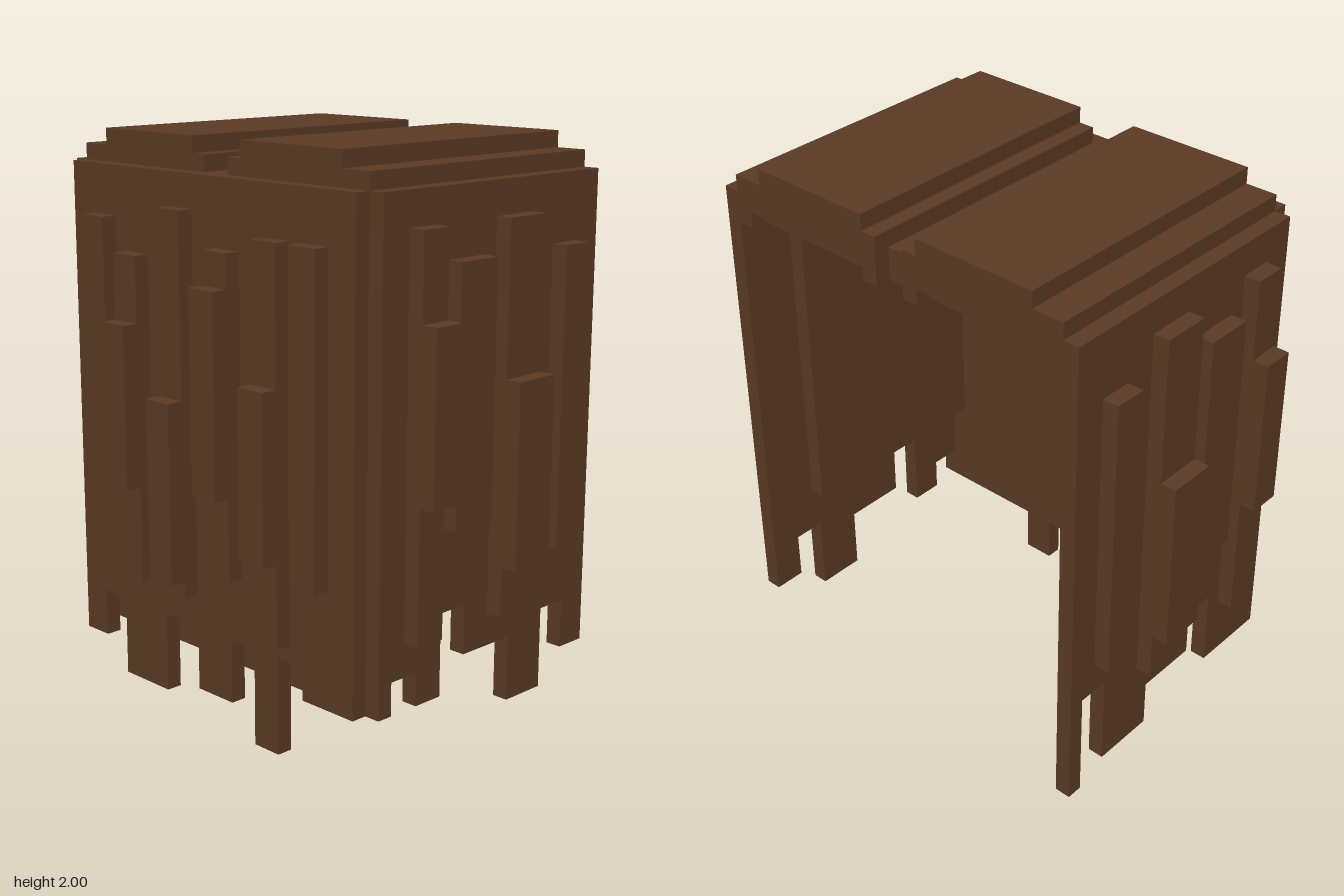
import * as THREE from 'three';

const U = 2 / 35; // one block unit
const material = new THREE.MeshStandardMaterial({ color: 0x5a3a24, flatShading: true });

export function createModel() {
  const model = new THREE.Group();
  const blocks = new THREE.Group();
  blocks.scale.setScalar(U);
  model.add(blocks);

  function add(name, geometry) {
    const mesh = new THREE.Mesh(geometry, material);
    mesh.name = name;
    blocks.add(mesh);
    return mesh;
  }

  // Box given by its limits in block units
  function box(name, x0, x1, y0, y1, z0, z1) {
    add(name, new THREE.BoxGeometry(x1 - x0, y1 - y0, z1 - z0))
      .position.set((x0 + x1) / 2, (y0 + y1) / 2, (z0 + z1) / 2);
  }

  // One-unit-thick panel with a stepped lower edge: [from, to, bottom]
  function fringed(name, steps, top) {
    const points = [];
    for (const [a, b, y] of steps) points.push(new THREE.Vector2(a, y), new THREE.Vector2(b, y));
    points.push(new THREE.Vector2(steps[steps.length - 1][1], top), new THREE.Vector2(steps[0][0], top));
    return add(name, new THREE.ExtrudeGeometry(new THREE.Shape(points), { depth: 1, bevelEnabled: false }));
  }

  // Front, back and side panels
  fringed('frontPanel', [
    [-7.5, -6.5, 4], [-6.5, -4.5, 6], [-4.5, -2.5, 4], [-2.5, -0.5, 9],
    [-0.5, 3.5, 6], [3.5, 6.5, 2], [6.5, 8.5, 7], [8.5, 10.5, 4],
  ], 33).position.z = 12;
  fringed('backPanel', [
    [-7.5, -2.5, 4], [-2.5, -0.5, 9], [-0.5, 3.5, 6],
    [3.5, 7.5, 3], [7.5, 9.5, 9], [9.5, 10.5, 2],
  ], 33).position.z = -13;
  const side = fringed('sidePanel', [
    [-12, -10, 3], [-10, -8, 6], [-8, -4, 1], [-4, -1, 6],
    [-1, 2, 2], [2, 4, 6], [4, 6, 0], [6, 8, 6], [8, 12, 4],
  ], 33);
  side.rotation.y = -Math.PI / 2;
  side.position.x = -7.5;

  // Roof and inner lining
  box('roof', -7.5, 9.5, 32, 33, -12, 12);
  box('roofLining', -7.5, 9.5, 31, 32, -12, 12);
  box('sideLining', -7.5, -6.5, 4, 31, -12, 12);

  // Parts mirrored between front and back: limits in z for the front half
  function pair(name, x0, x1, y0, y1, z0, z1) {
    box(name + 'Front', x0, x1, y0, y1, z0, z1);
    box(name + 'Back', x0, x1, y0, y1, -z1, -z0);
  }
  pair('wallLining', -6.5, 7, 10, 31, 11, 12);
  pair('roofStepLower', -7.5, 10.5, 33, 34, 1, 12);
  pair('roofStepUpper', -7.5, 10.5, 34, 35, 2, 10);
  pair('roofRim', 9.5, 10.5, 32, 33, 1, 12);
  pair('rimInnerTab', 9.5, 10.5, 31, 32, 1, 2);
  pair('rimOuterTab', 9.5, 10.5, 31, 32, 11, 12);

  // Raised strips on front and back: x limits, y limits
  for (const s of [[-5.5, -3.5, 8, 31], [-2.5, 0.5, 14, 29], [1.5, 4.5, 8, 31], [6.5, 8.5, 11, 29]])
    pair('strip', ...s, 13, 14);
  for (const s of [[-5.5, -3.5, 16, 26], [1.5, 4.5, 11, 22]])
    pair('outerStrip', ...s, 14, 15);

  // Raised strips on the side: start z, y limits, optional outer y limits
  const sideStrips = [
    [-10, 15, 30], [-7, 8, 28, 14, 24], [-3, 8, 31, 9, 20],
    [1, 10, 29, 15, 27], [5, 7, 30, 12, 22], [8, 11, 30],
  ];
  for (const [z, y0, y1, o0, o1] of sideStrips) {
    box('sideStrip', -9.5, -8.5, y0, y1, z, z + 2);
    if (o1) box('sideOuterStrip', -10.5, -9.5, o0, o1, z, z + 2);
  }

  return model;
}
